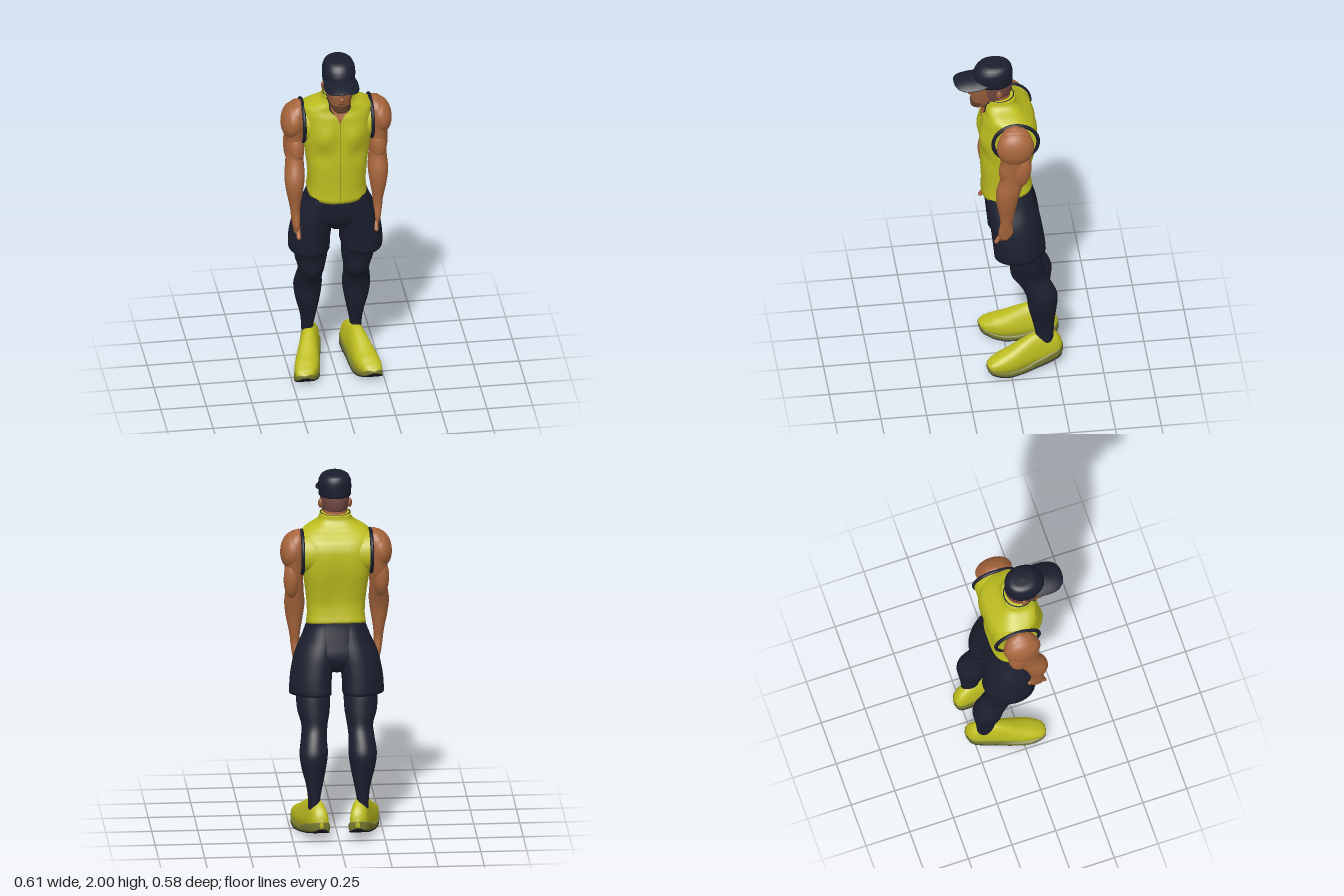
import * as THREE from 'three';

const mat = (name, color) => Object.assign(new THREE.MeshStandardMaterial({ color }), { name });

// Cross-section surface. Rings are [cx, y, cz, rx, rz], sorted by y; pow is the superellipse power (front, back).
function surface(rings, pow = 2, bump = null, powBack = pow) {
  const at = (y, th) => {
    let i = 0;
    while (i < rings.length - 2 && y > rings[i + 1][1]) i++;
    const get = k => rings[Math.min(Math.max(k, 0), rings.length - 1)];
    const [a, b, c, d] = [get(i - 1), get(i), get(i + 1), get(i + 2)];
    const u = (y - b[1]) / (c[1] - b[1]);
    const v = k => b[k] + 0.5 * u * (c[k] - a[k] + u * (2 * a[k] - 5 * b[k] + 4 * c[k] - d[k] + u * (3 * (b[k] - c[k]) + d[k] - a[k])));
    const e = 2 / (Math.sin(th) < 0 ? powBack : pow);
    const se = q => Math.sign(q) * Math.pow(Math.abs(q), e);
    const p = new THREE.Vector3(v(0) + v(3) * se(Math.cos(th)), y, v(2) + v(4) * se(Math.sin(th)));
    if (bump) bump(p);
    return p;
  };
  return { rings, at };
}

function build(points, index) {
  const g = new THREE.BufferGeometry().setFromPoints(points);
  g.setIndex(index);
  g.computeVertexNormals();
  return g;
}

// Closed smooth skin over a surface
function loft({ rings, at }, seg = 32, sub = 4) {
  const pts = [], idx = [], ys = [rings[0][1]];
  for (let i = 0; i < rings.length - 1; i++)
    for (let k = 1; k <= sub; k++) ys.push(rings[i][1] + (rings[i + 1][1] - rings[i][1]) * k / sub);
  for (const y of ys) for (let j = 0; j < seg; j++) pts.push(at(y, j / seg * Math.PI * 2));
  const last = (ys.length - 1) * seg, mean = o => {
    const c = new THREE.Vector3();
    for (let j = 0; j < seg; j++) c.addScaledVector(pts[o + j], 1 / seg);
    return c;
  };
  pts.push(mean(0), mean(last));
  const lo = last + seg, hi = lo + 1;
  for (let j = 0; j < seg; j++) {
    const n = (j + 1) % seg;
    for (let o = 0; o < last; o += seg) {
      const a = o + j, b = o + n, c = a + seg, d = b + seg;
      idx.push(a, c, b, b, c, d);
    }
    idx.push(lo, j, n, hi, last + n, last + j);
  }
  return build(pts, idx);
}

// Thin painted panel lying on a surface; half(r) is its half angle around mid
function patch(surf, y0, y1, mid, half, off = 0.004, nu = 14, nv = 16) {
  const pts = [], idx = [];
  for (let i = 0; i <= nu; i++) for (let j = 0; j <= nv; j++) {
    const th = mid + half(i / nu) * (2 * j / nv - 1);
    const p = surf.at(y0 + (y1 - y0) * i / nu, th);
    pts.push(p.add(new THREE.Vector3(Math.cos(th) * off, 0, Math.sin(th) * off)));
    if (i < nu && j < nv) {
      const a = i * (nv + 1) + j, c = a + nv + 1;
      idx.push(a, c, a + 1, a + 1, c, c + 1);
    }
  }
  return build(pts, idx);
}

export function createModel() {
  const root = new THREE.Group();
  root.name = 'athlete';
  const lime = mat('lime fabric', 0xbebe20), navy = mat('navy fabric', 0x1b1e2e), skin = mat('skin', 0xa8663c);
  const olive = mat('dark lime trim', 0x75782f), hair = mat('cropped hair', 0x724840), face = mat('face skin', 0x945a38);
  const stubble = mat('stubble', 0x5f3f2b), black = mat('sole rubber', 0x14151d);
  const add = (name, geo, m, x = 0, y = 0, z = 0) => {
    const mesh = new THREE.Mesh(geo, m);
    mesh.name = name;
    mesh.position.set(x, y, z);
    root.add(mesh);
    return mesh;
  };
  const ball = (name, m, p, r) => {
    const mesh = add(name, new THREE.SphereGeometry(1, 24, 16), m, ...p);
    mesh.scale.set(...r);
    return mesh;
  };
  const gauss = (a, b, w) => Math.exp(-((a - b) ** 2) / (w * w));
  const front = Math.PI / 2, back = -Math.PI / 2;

  // Vest with chest, belly and spine shaping and a hem that rises at the back
  const vest = surface([
    [0, 1.165, 0.003, 0.162, 0.136], [0, 1.22, 0.006, 0.156, 0.132], [0, 1.3, 0.01, 0.16, 0.132],
    [0, 1.4, 0.004, 0.172, 0.144], [0, 1.5, -0.006, 0.186, 0.152], [0, 1.6, -0.008, 0.19, 0.15],
    [0, 1.655, 0, 0.19, 0.138], [0, 1.69, 0.012, 0.183, 0.114], [0, 1.715, 0.025, 0.148, 0.1],
    [0, 1.735, 0.035, 0.108, 0.092], [0, 1.755, 0.042, 0.089, 0.087], [0, 1.78, 0.042, 0.084, 0.085],
  ], 2.4, p => {
    const ax = Math.abs(p.x);
    if (p.z > 0.03) {
      p.z += 0.02 * gauss(ax, 0.085, 0.06) * gauss(p.y, 1.545, 0.065);
      p.z -= 0.012 * gauss(ax, 0, 0.025) * gauss(p.y, 1.52, 0.12);
      p.z -= 0.012 * gauss(ax, 0.1, 0.06) * gauss(p.y, 1.42, 0.05);
    } else if (p.z < -0.05) p.z += 0.012 * gauss(ax, 0, 0.035) * gauss(p.y, 1.42, 0.16);
    p.y -= 0.25 * p.z * Math.max(0, 1 - (p.y - 1.165) / 0.15);
  }, 3.2);
  add('vest', loft(vest, 48), lime);
  const opening = r => 0.006 + 0.78 * Math.pow(r, 2);
  add('collarEdge', patch(vest, 1.68, 1.78, front, r => opening(0.355 + 0.645 * r) + 0.02 + 0.13 * r, 0.003), navy);
  add('neckOpening', patch(vest, 1.625, 1.78, front, opening, 0.006), skin);
  add('zip', patch(vest, 1.166, 1.63, front, () => 0.003, 0.003, 24, 2), olive);
  const rim = add('collarTrim', new THREE.TorusGeometry(0.08, 0.004, 8, 40, Math.PI * 2 - 1.2), navy, 0, 1.778, 0.042);
  rim.rotation.set(front, 0, front + 0.6);

  // Neck and head
  add('neck', loft(surface([[0, 1.64, 0.03, 0.075, 0.08], [0, 1.74, 0.045, 0.066, 0.07], [0, 1.84, 0.055, 0.064, 0.07]])), skin);
  const head = surface([
    [0, 1.716, 0.155, 0.026, 0.03], [0, 1.728, 0.142, 0.042, 0.053], [0, 1.755, 0.118, 0.058, 0.078],
    [0, 1.79, 0.092, 0.068, 0.105], [0, 1.84, 0.083, 0.076, 0.112], [0, 1.9, 0.075, 0.077, 0.1],
  ], 2.2, p => {
    if (p.z > 0.13) p.z -= 0.012 * gauss(Math.abs(p.x), 0.032, 0.016) * gauss(p.y, 1.838, 0.014);
  });
  add('head', loft(head, 40), face);
  add('croppedHair', patch(head, 1.778, 1.895, back, r => 1.6 + 0.45 * r, 0.002, 14, 32), hair);
  add('beard', patch(head, 1.718, 1.766, front, r => 1.0 + 0.25 * r, 0.002), stubble);
  add('moustache', patch(head, 1.776, 1.784, front, () => 0.25, 0.003, 4), stubble);
  add('lips', patch(head, 1.762, 1.77, front, () => 0.2, 0.005, 4), hair);
  ball('nose', face, [0, 1.806, 0.196], [0.014, 0.015, 0.018]);
  ball('noseBridge', face, [0, 1.832, 0.19], [0.01, 0.03, 0.012]);

  // Cap with a crown that runs forward into the brim
  add('capCrown', loft(surface([
    [0, 1.873, 0.074, 0.087, 0.105], [0, 1.915, 0.077, 0.09, 0.109], [0, 1.955, 0.072, 0.087, 0.102],
    [0, 1.982, 0.067, 0.074, 0.087], [0, 1.996, 0.065, 0.052, 0.063], [0, 2.0, 0.065, 0.008, 0.01],
  ], 2.1), 40), navy);
  add('capBrim', loft(surface([
    [0, 1.893, 0.18, 0.004, 0.004], [0, 1.894, 0.18, 0.06, 0.07], [0, 1.896, 0.18, 0.092, 0.106],
    [0, 1.9, 0.18, 0.095, 0.11], [0, 1.904, 0.18, 0.092, 0.106], [0, 1.914, 0.18, 0.06, 0.07], [0, 1.92, 0.18, 0.004, 0.004],
  ], 2.5, p => { p.y -= 2.3 * p.x * p.x + 0.1 * (p.z - 0.18); }), 48, 3), navy);

  // Shorts seat, blending over the tops of the two legs
  add('shortsSeat', loft(surface([
    [0, 0.915, -0.042, 0.04, 0.07], [0, 0.95, -0.037, 0.105, 0.108], [0, 1.0, -0.029, 0.195, 0.135],
    [0, 1.08, -0.014, 0.19, 0.136], [0, 1.2, 0.002, 0.15, 0.126],
  ], 2.3), 44), navy);

  for (const s of [1, -1]) {
    const side = s > 0 ? 'left' : 'right';
    const limb = (rows, pow, bump) => loft(surface(rows.map(([x, ...r]) => [x * s, ...r]), pow, bump));

    // Face details and arm opening
    ball(side + 'Ear', face, [s * 0.079, 1.828, 0.05], [0.013, 0.026, 0.017]).rotation.y = s * 0.3;
    add(side + 'Brow', patch(head, 1.852, 1.859, front - s * 0.42, () => 0.18, 0.003, 3), stubble);
    add(side + 'Eye', patch(head, 1.837, 1.841, front - s * 0.42, () => 0.1, 0.003, 3), black);
    const cuff = add(side + 'ArmholeCuff', new THREE.CylinderGeometry(0.116, 0.116, 0.07, 40), lime, s * 0.153, 1.578, -0.026);
    cuff.rotation.z = front;
    cuff.scale.z = 1.06;
    const trim = add(side + 'ArmTrim', new THREE.TorusGeometry(0.116, 0.01, 10, 40), navy, s * 0.187, 1.578, -0.026);
    trim.rotation.y = front;
    trim.scale.x = 1.06;

    // Arm from wrist to shoulder; the right forearm swings a little forward
    const swing = s > 0 ? [-0.008, 0] : [0.008, 0.042];
    const bend = p => {
      const k = THREE.MathUtils.smoothstep(1.5 - p.y, 0, 0.28);
      p.x += s * swing[0] * k;
      p.z += swing[1] * k;
    };
    add(side + 'Arm', limb([
      [0.222, 0.945, 0.028, 0.015, 0.034], [0.224, 0.99, 0.03, 0.021, 0.042], [0.228, 1.05, 0.03, 0.025, 0.033],
      [0.23, 1.1, 0.027, 0.029, 0.038], [0.232, 1.2, 0.027, 0.046, 0.056], [0.231, 1.28, 0.018, 0.055, 0.067],
      [0.229, 1.36, -0.003, 0.049, 0.068], [0.229, 1.44, -0.015, 0.05, 0.076], [0.228, 1.51, -0.02, 0.053, 0.084],
      [0.23, 1.59, -0.02, 0.06, 0.096], [0.222, 1.65, -0.02, 0.054, 0.083], [0.212, 1.685, -0.02, 0.036, 0.055],
      [0.205, 1.702, -0.02, 0.01, 0.015],
    ], 2.1, bend), skin);
    ball(side + 'Deltoid', skin, [s * 0.239, 1.587, -0.018], [0.064, 0.102, 0.103]).rotation.z = s * 0.12;
    const bz = swing[1] * 0.2;
    ball(side + 'Biceps', skin, [s * 0.226, 1.43, 0.024 + bz], [0.044, 0.093, 0.046]).rotation.x = -0.1;
    ball(side + 'Triceps', skin, [s * 0.243, 1.43, -0.05 + bz], [0.044, 0.11, 0.054]).rotation.x = -0.12;

    // Hand
    const hx = s * (0.215 + swing[0]), hz = swing[1] * 0.8;
    for (let f = 0; f < 4; f++) {
      const finger = add(side + 'Finger', new THREE.CapsuleGeometry(0.0105, 0.055, 4, 10), skin,
        hx, 0.937 + 0.004 * Math.abs(f - 1.5), hz - 0.004 + f * 0.019);
      finger.rotation.z = -s * 0.22;
    }
    const thumb = add(side + 'Thumb', new THREE.CapsuleGeometry(0.012, 0.07, 4, 10), skin, hx, 0.957, hz + 0.064);
    thumb.rotation.x = -0.55;

    // Shorts leg, hem a little higher at the back and tapered inwards behind
    add(side + 'ShortsLeg', limb([
      [0.144, 0.79, -0.057, 0.113, 0.142], [0.142, 0.86, -0.05, 0.113, 0.142], [0.131, 0.94, -0.04, 0.112, 0.141],
      [0.113, 1.02, -0.028, 0.109, 0.138], [0.091, 1.1, -0.012, 0.094, 0.13], [0.075, 1.19, 0, 0.077, 0.117],
    ], 2.1, p => {
      p.x -= s * 0.25 * Math.max(0, -0.08 - p.z);
      p.y -= 0.07 * (p.z + 0.057) * Math.max(0, 1 - (p.y - 0.79) / 0.15);
    }), navy);

    // Legging with knee and calf
    add(side + 'Legging', limb([
      [0.13, 0.15, -0.19, 0.034, 0.048], [0.132, 0.22, -0.19, 0.033, 0.05], [0.13, 0.3, -0.185, 0.045, 0.06],
      [0.133, 0.4, -0.179, 0.067, 0.077], [0.133, 0.48, -0.176, 0.077, 0.085], [0.13, 0.55, -0.148, 0.071, 0.086],
      [0.124, 0.62, -0.105, 0.071, 0.093], [0.128, 0.7, -0.092, 0.088, 0.093], [0.13, 0.79, -0.07, 0.093, 0.1],
      [0.13, 0.88, -0.05, 0.09, 0.1],
    ]), navy);

    // Shoe, toe to heel: [-z, bottom, top, half width], toes turned outwards
    const shoe = [
      [-0.132, 0.055, 0.075, 0.012], [-0.124, 0.041, 0.086, 0.034], [-0.105, 0.027, 0.1, 0.05], [-0.06, 0.01, 0.125, 0.063],
      [0, 0, 0.152, 0.067], [0.08, 0.006, 0.195, 0.062], [0.14, 0.018, 0.22, 0.057], [0.21, 0.035, 0.221, 0.056],
      [0.26, 0.05, 0.19, 0.05], [0.282, 0.06, 0.155, 0.036], [0.293, 0.075, 0.12, 0.012],
    ];
    const centre = t => s * (0.161 - 0.215 * t);
    const shoePart = (lo, hi, grow, pow, bump) => surface(shoe.map(([t, b, top, w]) => {
      const y0 = b + lo, y1 = Math.min(top, b + hi(t));
      return [centre(t), t, (y0 + y1) / 2, w + grow, (y1 - y0) / 2];
    }), pow, bump);
    const upper = shoePart(0.01, () => 1, 0, 2.5, p => {
      p.x = centre(p.y) + (p.x - centre(p.y)) * (1 - 2 * Math.max(0, p.z - 0.09));
    });
    const heelRise = t => 0.038 + 0.024 * THREE.MathUtils.smoothstep(t, 0.05, 0.2);
    add(side + 'ShoeUpper', loft(upper).rotateX(back), lime);
    add(side + 'Midsole', loft(shoePart(0.003, heelRise, 0.004, 4)).rotateX(back), olive);
    add(side + 'Outsole', loft(shoePart(0, () => 0.009, 0.003, 3)).rotateX(back), black);
  }
  return root;
}
